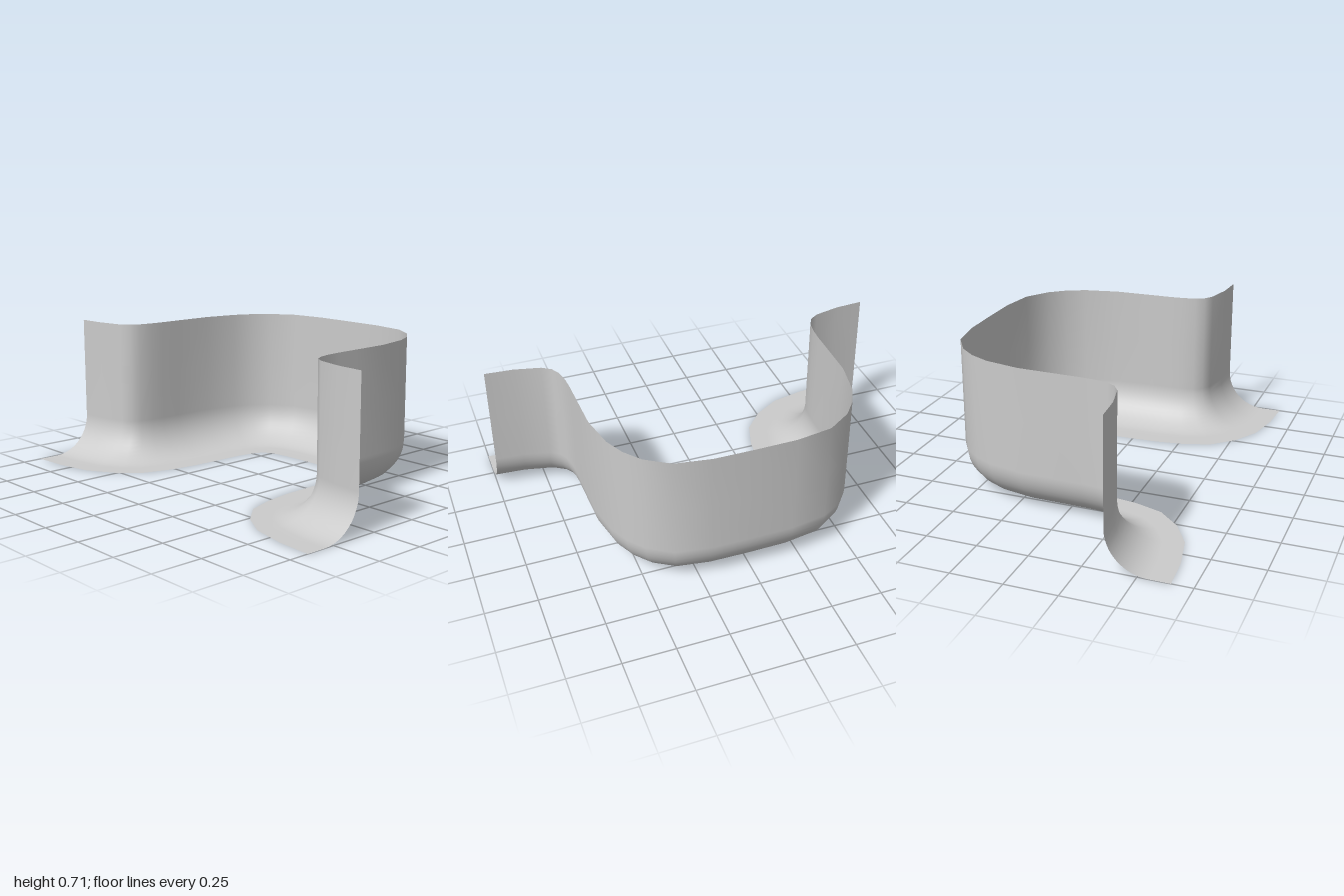
import * as THREE from 'three';

// Stations along the left-hand half of the sweep: [wall x, wall z, floor edge x, floor edge z]
const HALF = [
  [-1, 0.35, -1, 0.65], [-0.86, 0.34, -0.825, 0.638], [-0.73, 0.31, -0.645, 0.6],
  [-0.685, 0.28, -0.51, 0.52], [-0.66, 0.235, -0.41, 0.41], [-0.647, 0.17, -0.365, 0.27],
  [-0.642, 0.1, -0.345, 0.13], [-0.64, 0, -0.34, 0.01], [-0.635, -0.2, -0.335, -0.17],
  [-0.6, -0.37, -0.315, -0.275], [-0.555, -0.465, -0.295, -0.305], [-0.49, -0.545, -0.27, -0.325],
  [-0.375, -0.62, -0.245, -0.335], [-0.2, -0.648, -0.16, -0.347], [0, -0.65, 0, -0.352],
];
const HEIGHT = 0.715, WIDTH = 0.3, FILLET = 0.2, ARC_STEPS = 12;

// Cross-section as [fraction from wall to floor edge, height]
function makeProfile() {
  const profile = [[0, HEIGHT], [0, 0.45]];
  for (let i = 0; i <= ARC_STEPS; i++) {
    const a = (i / ARC_STEPS) * Math.PI / 2;
    profile.push([FILLET * (1 - Math.cos(a)) / WIDTH, FILLET * (1 - Math.sin(a))]);
  }
  profile.push([1, 0]);
  return profile;
}

// Skin the cross-section over all stations
function sweep(stations, profile) {
  const positions = [], index = [], n = profile.length;
  stations.forEach(([wx, wz, fx, fz], s) => {
    for (const [t, y] of profile) positions.push(wx + (fx - wx) * t, y, wz + (fz - wz) * t);
    if (s === 0) return;
    for (let j = 0; j < n - 1; j++) {
      const a = (s - 1) * n + j, b = s * n + j;
      index.push(a, a + 1, b, b, a + 1, b + 1);
    }
  });
  const geometry = new THREE.BufferGeometry();
  geometry.setAttribute('position', new THREE.Float32BufferAttribute(positions, 3));
  geometry.setIndex(index);
  geometry.computeVertexNormals();
  return geometry;
}

export function createModel() {
  const group = new THREE.Group();
  group.name = 'curvedWall';
  // Mirror the half path across x = 0
  const mirrored = HALF.slice(0, -1).reverse().map(([wx, wz, fx, fz]) => [-wx, wz, -fx, fz]);
  const material = new THREE.MeshStandardMaterial({ color: 0xcccccc, side: THREE.DoubleSide });
  const wall = new THREE.Mesh(sweep([...HALF, ...mirrored], makeProfile()), material);
  wall.name = 'wallWithCurvedFoot';
  group.add(wall);
  return group;
}
